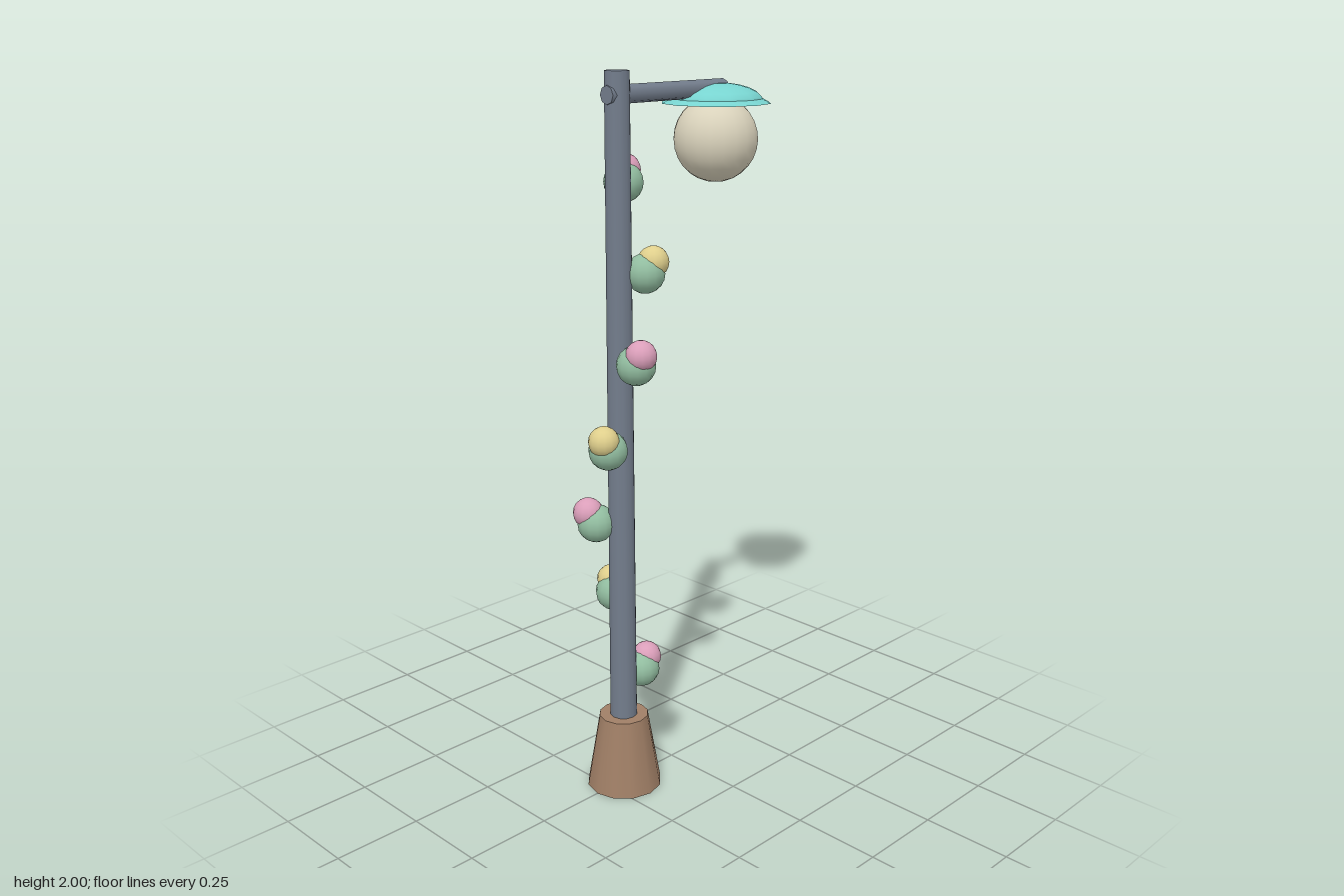
import * as THREE from 'three';

const paint = (name, color) => {
  const m = new THREE.MeshStandardMaterial({ color });
  m.name = name;
  return m;
};

export function createModel() {
  const slate = paint('slate metal', 0x737d8c);
  const brown = paint('brown planter', 0xa07f66);
  const teal = paint('teal shade', 0x78d4d0);
  const cream = paint('cream glass', 0xdad3bc);
  const green = paint('leaf green', 0x92bda0);
  const pink = paint('pink blossom', 0xdb9fba);
  const yellow = paint('yellow blossom', 0xdfcf8c);

  const model = new THREE.Group();
  model.name = 'streetLamp';
  const add = (parent, name, geometry, material, x, y, z) => {
    const mesh = new THREE.Mesh(geometry, material);
    mesh.name = name;
    mesh.position.set(x, y, z);
    parent.add(mesh);
    return mesh;
  };

  const poleX = -0.194, lampX = 0.169;

  // Planter base and tapered pole
  add(model, 'base', new THREE.CylinderGeometry(0.07, 0.107, 0.217, 12), brown, poleX, 0.1085, 0);
  add(model, 'pole', new THREE.CylinderGeometry(0.033, 0.039, 1.9, 12), slate, poleX, 1.05, 0);

  // Horizontal arm passing through the pole
  const arm = add(model, 'arm', new THREE.CylinderGeometry(0.024, 0.024, 0.425, 8), slate, -0.0175, 1.941, 0);
  arm.rotation.z = Math.PI / 2;

  // Lamp head: sloping brim, shallow dome and glass globe
  const lamp = new THREE.Group();
  lamp.name = 'lampHead';
  lamp.position.x = lampX;
  model.add(lamp);
  add(lamp, 'shadeBrim', new THREE.CylinderGeometry(0.075, 0.15, 0.04, 12), teal, 0, 1.922, 0);
  const dome = add(lamp, 'shadeDome',
    new THREE.SphereGeometry(0.13, 12, 6, 0, Math.PI * 2, 0, Math.PI / 2), teal, 0, 1.907, 0);
  dome.scale.y = 0.37;
  add(lamp, 'globe', new THREE.SphereGeometry(0.115, 20, 14), cream, 0, 1.807, 0);

  // Leaf buds with alternating blossoms spiralling up the pole
  const leafGeometry = new THREE.SphereGeometry(0.053, 14, 10);
  const blossomGeometry = new THREE.SphereGeometry(0.042, 14, 10);
  for (let i = 0; i < 7; i++) {
    const angle = -1.15 * i, y = 0.335 + 0.23 * i;
    const c = Math.cos(angle), s = Math.sin(angle);
    const bud = new THREE.Group();
    bud.name = `bud${i + 1}`;
    bud.position.set(poleX, y, 0);
    model.add(bud);
    add(bud, 'leaf', leafGeometry, green, c * 0.07, 0, s * 0.07);
    add(bud, 'blossom', blossomGeometry, i % 2 ? yellow : pink, c * 0.092, 0.03, s * 0.092);
  }
  return model;
}
